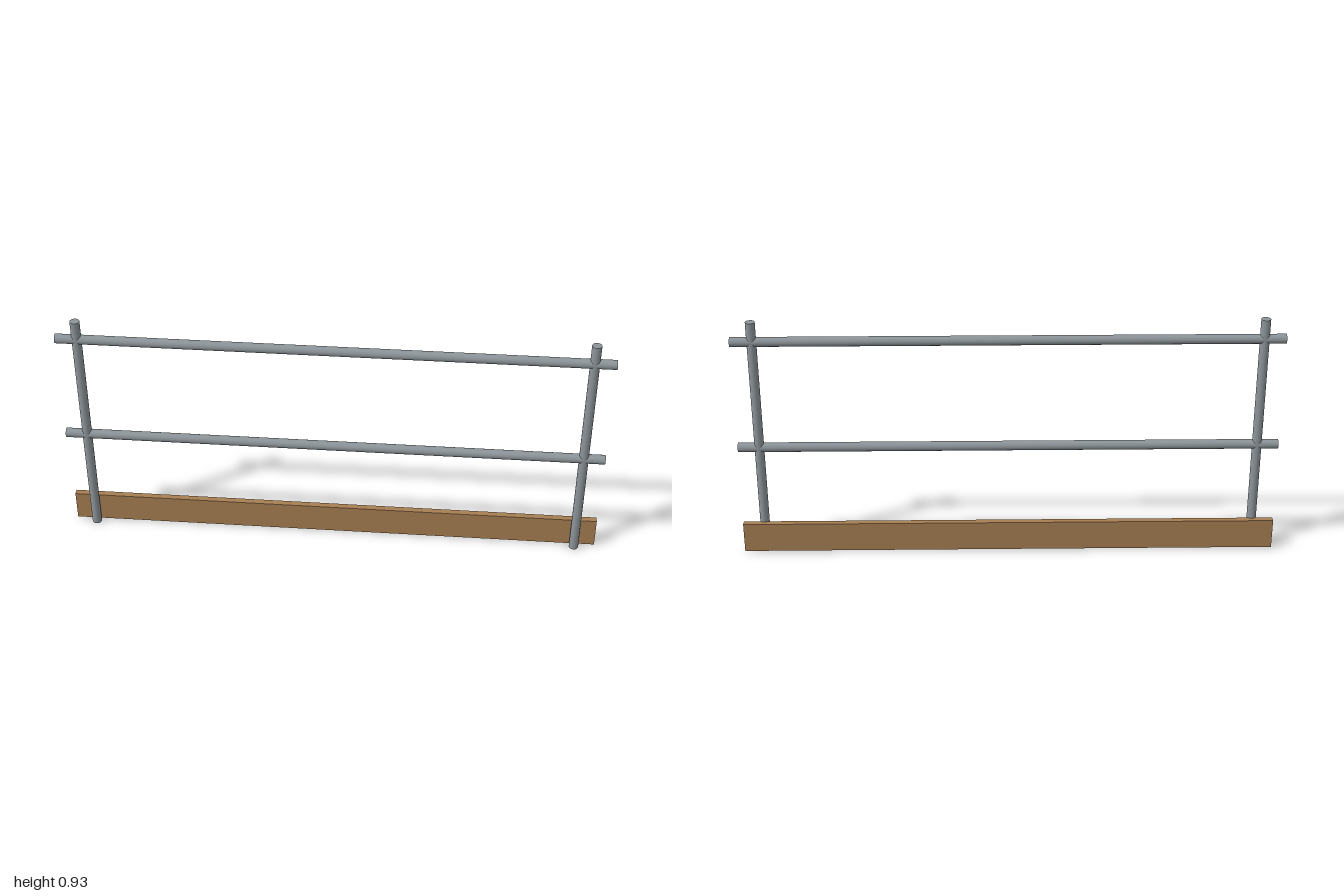
import * as THREE from 'three';

export function createModel() {
  const steel = new THREE.MeshStandardMaterial({ color: 0x8d959a });
  steel.name = 'galvanised steel';
  const wood = new THREE.MeshStandardMaterial({ color: 0xa67e52 });
  wood.name = 'timber';

  const model = new THREE.Group();
  model.name = 'guardrail';
  const radius = 0.0178, tubeZ = 0.009, height = 0.929;

  const add = (name, geometry, material, x, y, z) => {
    const mesh = new THREE.Mesh(geometry, material);
    mesh.name = name;
    mesh.position.set(x, y, z);
    model.add(mesh);
  };

  // Upright posts
  const post = new THREE.CylinderGeometry(radius, radius, height, 16);
  add('leftPost', post, steel, 0.922, height / 2, tubeZ);
  add('rightPost', post, steel, -0.922, height / 2, tubeZ);

  // Horizontal rails through the posts
  const rail = new THREE.CylinderGeometry(radius, radius, 2, 16).rotateZ(Math.PI / 2);
  add('topRail', rail, steel, 0, 0.852, tubeZ);
  add('midRail', rail, steel, 0, 0.428, tubeZ);

  // Toe board behind the posts
  add('toeBoard', new THREE.BoxGeometry(2, 0.115, 0.0235), wood, 0, 0.062, -0.015);

  return model;
}
